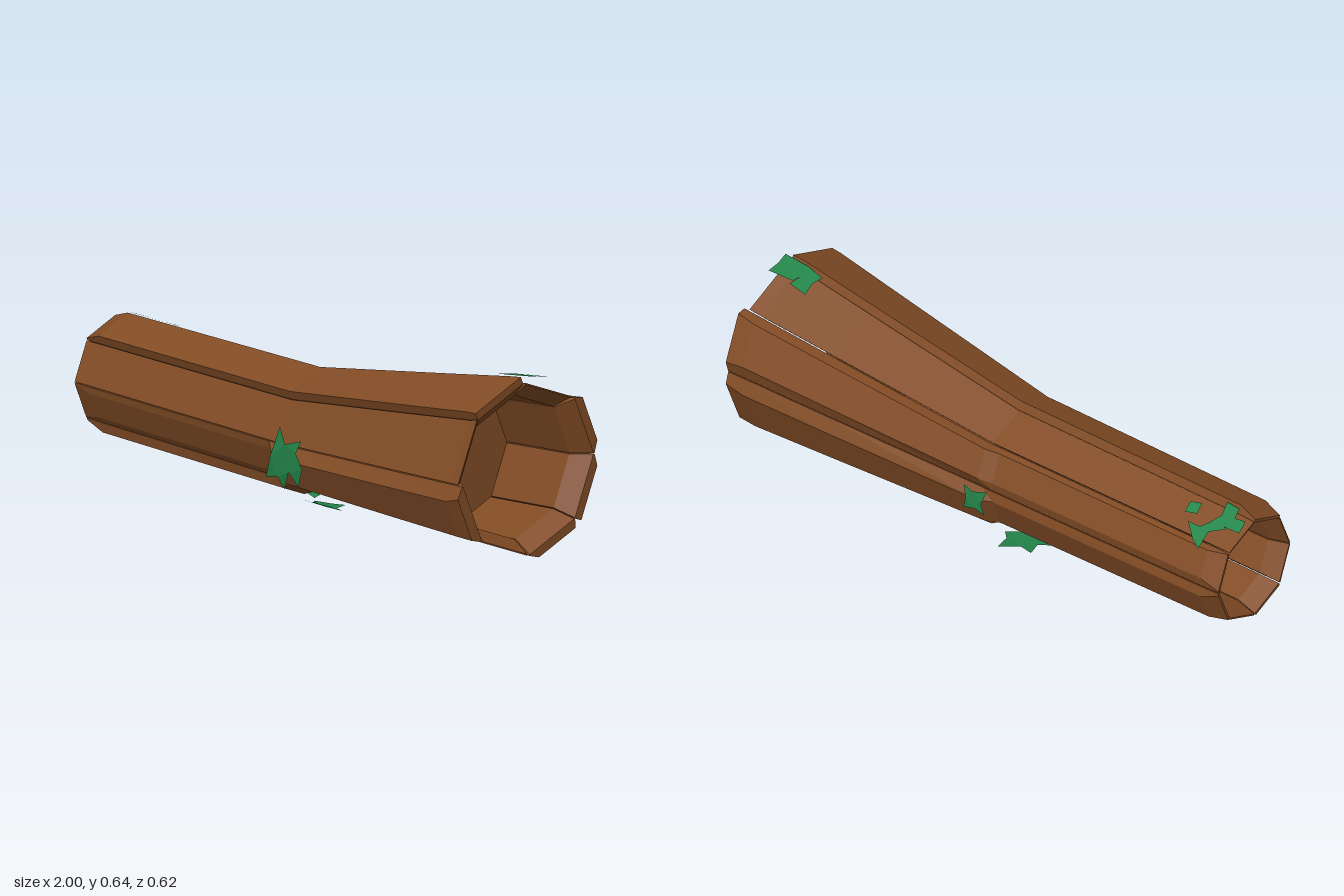
import * as THREE from 'three';

const bark = new THREE.MeshStandardMaterial({ color: 0x824c25, side: THREE.DoubleSide });
bark.name = 'bark brown';
const leafGreen = new THREE.MeshStandardMaterial({ color: 0x238549, side: THREE.DoubleSide });
leafGreen.name = 'leaf green';

// Eight bark staves, counted from the top towards +z:
// raised height of the left and right half, chamfers at both edges, end position
const staves = [
  { low: 0.03, high: 0.03, c0: 0, c1: 0, end: 0.97 },
  { low: 0, high: 0, c0: 0, c1: 0, end: 0.97 },
  { low: 0.005, high: 0.045, c0: 0.04, c1: 0.036, end: 0.99 },
  { low: 0.03, high: 0, c0: 0.03, c1: 0.04, end: 0.99 },
  { low: 0.004, high: 0.037, c0: 0.045, c1: 0.012, end: 1 },
  { low: 0.02, high: 0.037, c0: 0, c1: 0.045, end: 1 },
  { low: 0.02, high: 0.037, c0: 0.045, c1: 0.02, end: 1 },
  { low: 0, high: 0, c0: 0, c1: 0, end: 0.98 },
];

// x, centre height, shoulder radius, cavity radius, share of right half, share of raised height
const stations = (end) => [
  [-1, 0.24, 0.19, 0.185, 0, 0.2],
  [-0.93, 0.24, 0.192, 0.16, 0, 1],
  [-0.05, 0.24, 0.2, 0.16, 0, 1],
  [0, 0.24, 0.2, 0.17, 1, 1],
  [0.62, 0.288, 0.26, 0.245, 1, 1],
  [0.93, 0.313, 0.29, 0.248, 1, 1],
  [end, 0.318, 0.297, 0.292, 1, 0.75],
];

// One closed stave lofted through six-point cross-sections
function staveGeometry(k, s) {
  const a0 = (k * Math.PI) / 4, a1 = a0 + Math.PI / 4, am = a0 + Math.PI / 8;
  const n = [Math.sin(am), Math.cos(am)];
  const t = [Math.cos(am), -Math.sin(am)];
  const gap = 0.002;
  const rings = stations(s.end).map(([x, cy, r, cavity, half, share]) => {
    const h = (half ? s.high : s.low) * share;
    const bevel = h > 0 ? Math.min(1, r / 0.297) * share : 0;
    const pt = (a, rad, along, out) => [
      x,
      cy + Math.cos(a) * rad + t[1] * along + n[1] * out,
      Math.sin(a) * rad + t[0] * along + n[0] * out,
    ];
    return [
      pt(a0, cavity, gap, 0), pt(a0, r, gap, 0),
      pt(a0, r, gap + s.c0 * bevel, h), pt(a1, r, -gap - s.c1 * bevel, h),
      pt(a1, r, -gap, 0), pt(a1, cavity, -gap, 0),
    ];
  });
  const pos = [];
  const tri = (a, b, c) => pos.push(...a, ...b, ...c);
  for (let i = 0; i < rings.length - 1; i++) {
    for (let j = 0; j < 6; j++) {
      const m = (j + 1) % 6, p = rings[i], q = rings[i + 1];
      tri(p[j], p[m], q[m]);
      tri(p[j], q[m], q[j]);
    }
  }
  const first = rings[0], last = rings[rings.length - 1];
  for (let j = 1; j < 5; j++) {
    tri(last[0], last[j], last[j + 1]);
    tri(first[0], first[j + 1], first[j]);
  }
  const g = new THREE.BufferGeometry();
  g.setAttribute('position', new THREE.Float32BufferAttribute(pos, 3));
  g.computeVertexNormals();
  return g;
}

// Flat outline bent onto the log by a placing rule (u, v) -> [x, y, z]
function leaf(name, outline, place) {
  const shape = new THREE.Shape(outline.map(([u, v]) => new THREE.Vector2(u, v)));
  const g = new THREE.ShapeGeometry(shape).toNonIndexed();
  const p = g.attributes.position;
  for (let i = 0; i < p.count; i++) p.setXYZ(i, ...place(p.getX(i), p.getY(i)));
  g.computeVertexNormals();
  const mesh = new THREE.Mesh(g, leafGreen);
  mesh.name = name;
  return mesh;
}

// Octagonal wall closing the cavity
function cavityWall(name, x, cy, radius, facing) {
  const g = new THREE.CircleGeometry(radius, 8);
  g.rotateY((facing * Math.PI) / 2);
  const mesh = new THREE.Mesh(g, bark);
  mesh.position.set(x, cy, 0);
  mesh.name = name;
  return mesh;
}

export function createModel() {
  const model = new THREE.Group();
  model.name = 'hollowLog';

  const log = new THREE.Group();
  log.name = 'barkStaves';
  staves.forEach((s, k) => {
    const mesh = new THREE.Mesh(staveGeometry(k, s), bark);
    mesh.name = 'barkStave' + (k + 1);
    log.add(mesh);
  });
  model.add(log);
  model.add(cavityWall('wideCavityWall', 0.63, 0.289, 0.252, 1));
  model.add(cavityWall('narrowCavityWall', -0.7, 0.24, 0.168, -1));

  // Leaf on the front side
  model.add(leaf('frontLeaf', [
    [0.03, 0.31], [0.075, 0.26], [0.16, 0.29], [0.14, 0.245], [0.18, 0.2], [0.15, 0.13],
    [0.1, 0.17], [0.06, 0.1], [0.03, 0.14], [-0.04, 0.12], [-0.005, 0.2],
  ], (x, y) => [x, y, 0.237 + 0.15 * x - 1.5 * (y - 0.2) ** 2]));

  // Leaves under the middle
  model.add(leaf('underLeafBack', [
    [-0.2, -0.05], [-0.15, -0.09], [-0.17, -0.15], [-0.12, -0.14], [-0.07, -0.2],
    [-0.05, -0.13], [-0.02, -0.1], [-0.06, -0.06], [-0.04, 0], [-0.12, -0.03],
  ], (x, z) => [x, 0.004 + 0.6 * z * z, z]));
  model.add(leaf('underLeafFront', [
    [-0.02, 0.02], [0.02, 0.06], [0, 0.11], [0.05, 0.1], [0.09, 0.125],
    [0.1, 0.08], [0.15, 0.05], [0.1, 0.03], [0.09, -0.02], [0.04, 0],
  ], (x, z) => [x, 0.002 + 2.6 * z * z, z]));

  // Leaf on the back side
  model.add(leaf('backLeaf', [
    [-0.045, 0.25], [0.01, 0.235], [0.045, 0.25], [0.035, 0.2], [0.045, 0.16],
    [0, 0.17], [-0.035, 0.155], [-0.025, 0.2],
  ], (x, y) => [x, y, -0.238 - 0.1 * x + 2 * (y - 0.2) ** 2]));

  // Leaves on top of the narrow end
  const narrowTop = (x, z) => [x, 0.458 + 0.41 * z, z];
  [
    [[-1, -0.08], [-0.88, -0.085], [-0.9, -0.05], [-0.885, 0], [-0.94, -0.005], [-0.95, -0.04], [-0.99, -0.035]],
    [[-0.91, -0.185], [-0.87, -0.165], [-0.81, -0.115], [-0.86, -0.115], [-0.89, -0.075], [-0.95, -0.085], [-0.9, -0.12]],
    [[-0.82, -0.08], [-0.775, -0.09], [-0.77, -0.05], [-0.81, -0.04]],
  ].forEach((o, i) => model.add(leaf('narrowEndLeaf' + (i + 1), o, narrowTop)));

  // Leaves on top of the wide end
  const wideTop = (x, z) => [x, 0.634 + 0.2 * z - 0.15 * (0.95 - x), z];
  [
    [[0.83, -0.1], [0.9, -0.095], [0.89, -0.05], [0.895, 0], [0.83, -0.01], [0.84, -0.05]],
    [[0.9, -0.08], [0.99, -0.095], [0.985, -0.05], [0.99, -0.005], [0.895, 0], [0.89, -0.05]],
  ].forEach((o, i) => model.add(leaf('wideEndLeaf' + (i + 1), o, wideTop)));

  return model;
}
